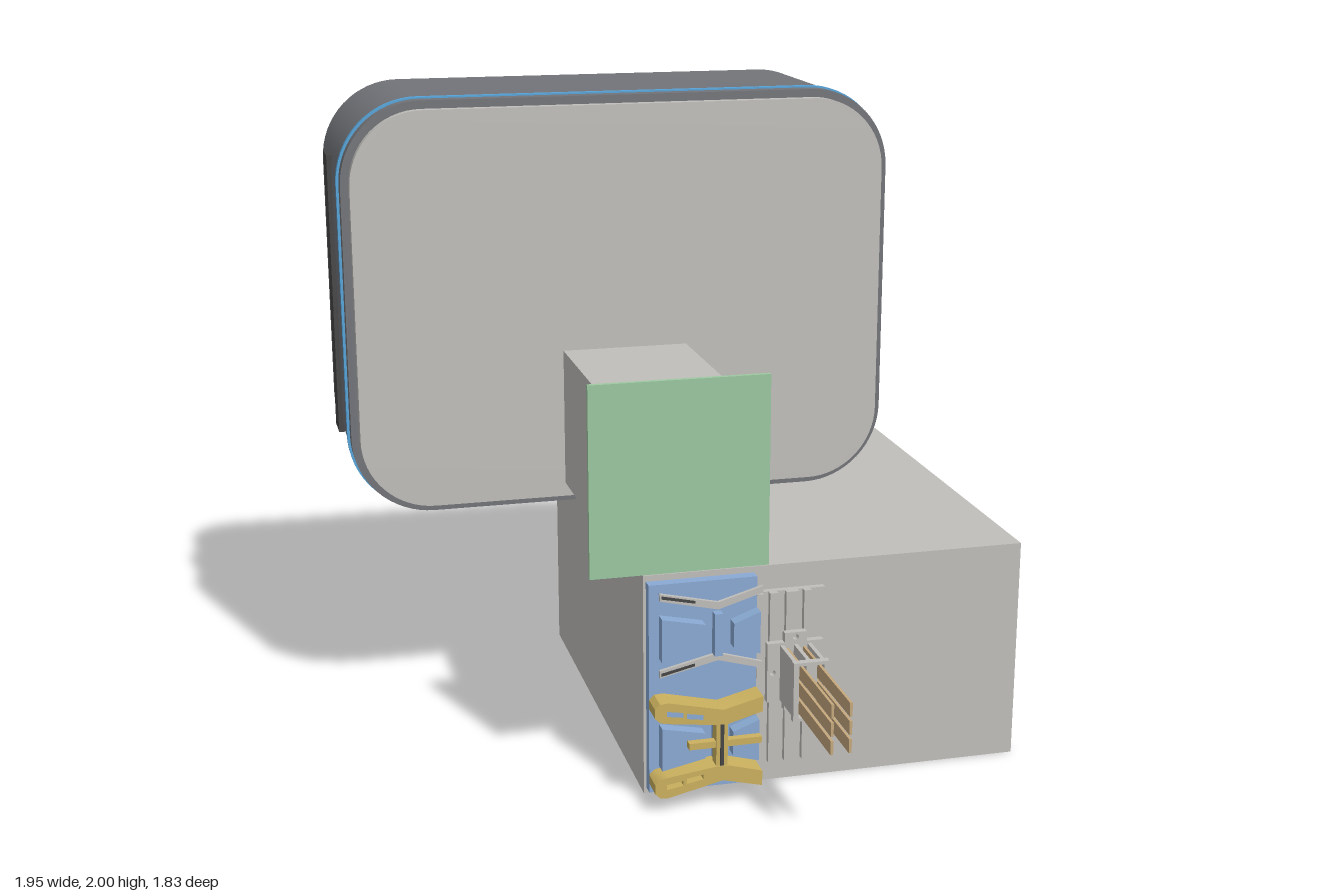
import * as THREE from 'three';
import { toCreasedNormals } from 'three/addons/utils/BufferGeometryUtils.js';

export function createModel() {
  const root = new THREE.Group();
  root.name = 'deviceAssembly';
  const mat = (name, color) => {
    const m = new THREE.MeshStandardMaterial({ color });
    m.name = name;
    return m;
  };
  const grey = mat('light grey', 0xc1bfbb);
  const slate = mat('slate grey', 0x727479);
  const dark = mat('charcoal', 0x454545);
  const band = mat('bright blue', 0x55a4da);
  const green = mat('board green', 0x9cc8a1);
  const blue = mat('soft blue', 0x8aaad4);
  const yellow = mat('mustard', 0xcbb15f);
  const tan = mat('contact tan', 0xc6a97d);

  const add = (name, geo, m, parent = root) => {
    const mesh = new THREE.Mesh(geo, m);
    mesh.name = name;
    parent.add(mesh);
    return mesh;
  };
  // Box given by its limits on each axis
  const box = (name, m, x0, x1, y0, y1, z0, z1, parent = root) =>
    add(name, new THREE.BoxGeometry(x1 - x0, y1 - y0, z1 - z0)
      .translate((x0 + x1) / 2, (y0 + y1) / 2, (z0 + z1) / 2), m, parent);
  const group = (name) => {
    const g = new THREE.Group();
    g.name = name;
    root.add(g);
    return g;
  };
  // Extrude a shape between two z values
  const slab = (name, m, shape, z0, z1, parent = root) => {
    const geo = new THREE.ExtrudeGeometry(shape, { depth: z1 - z0, bevelEnabled: false, curveSegments: 8 });
    return add(name, toCreasedNormals(geo.translate(0, 0, z0), 0.6), m, parent);
  };
  const poly = (pts) => new THREE.Shape(pts.map(([x, y]) => new THREE.Vector2(x, y)));
  const hole = (x, y, r) => new THREE.Path().absarc(x, y, r, 0, Math.PI * 2, true);
  const roundRect = (x0, x1, y0, y1, r) => {
    const s = new THREE.Shape();
    s.absarc(x1 - r, y1 - r, r, 0, Math.PI / 2);
    s.absarc(x0 + r, y1 - r, r, Math.PI / 2, Math.PI);
    s.absarc(x0 + r, y0 + r, r, Math.PI, Math.PI * 1.5);
    s.absarc(x1 - r, y0 + r, r, Math.PI * 1.5, Math.PI * 2);
    s.closePath();
    return s;
  };

  // Base block
  box('baseBlock', grey, -0.205, 0.975, 0, 0.69, -0.88, 0.43);

  // Rounded housing with its trim band and front panel
  const housing = group('housing');
  slab('housingShell', slate, roundRect(-0.965, 0.76, 0.71, 1.995, 0.25), -0.865, -0.265, housing);
  slab('trimBand', band, roundRect(-0.973, 0.768, 0.704, 2, 0.255), -0.334, -0.312, housing);
  slab('frontPanel', grey, roundRect(-0.94, 0.735, 0.735, 1.97, 0.225), -0.265, -0.232, housing);
  for (const [x0, x1] of [[-0.979, -0.96], [0.755, 0.775]])
    box('sideStrip', dark, x0, x1, 0.905, 1.8, -0.66, -0.55, housing);

  // Curved rear feet: cylinders partly sunk in the back
  const foot = (x, y, r, h) => add('rearFoot',
    new THREE.CylinderGeometry(r, r, h, 32).translate(x, y, r - 0.915), dark, housing);
  for (const x of [-0.755, 0.545]) {
    foot(x, 1.8, 0.072, 0.05);
    foot(x, 0.905, 0.072, 0.05);
  }
  foot(-0.103, 1.89, 0.194, 0.09);
  foot(-0.103, 0.815, 0.194, 0.09);

  // Spacer block and board in front of the panel
  box('spacerBlock', grey, -0.3, 0.095, 0.78, 1.21, -0.232, 0.45);
  box('circuitBoard', green, -0.37, 0.165, 0.705, 1.28, 0.45, 0.465);

  // Ribbed mounting plate
  const ribs = group('ribbedPlate');
  box('plateBase', grey, -0.05, 0.345, 0.075, 0.615, 0.43, 0.45, ribs);
  for (const [x0, x1] of [[0.13, 0.15], [0.17, 0.195], [0.22, 0.26], [0.275, 0.298]])
    box('plateRib', grey, x0, x1, 0.075, 0.615, 0.45, 0.468, ribs);

  // Connector: flange, open frame and contact blades
  const connector = group('connector');
  const flange = poly([[0.157, 0.28], [0.21, 0.28], [0.21, 0.25], [0.278, 0.25], [0.278, 0.28], [0.33, 0.28],
    [0.33, 0.465], [0.278, 0.465], [0.278, 0.495], [0.21, 0.495], [0.21, 0.465], [0.157, 0.465]]);
  for (const [x, y] of [[0.174, 0.372], [0.314, 0.372], [0.244, 0.265], [0.244, 0.48]])
    flange.holes.push(hole(x, y, 0.009));
  slab('connectorFlange', grey, flange, 0.468, 0.49, connector);
  const frame = poly([[0.19, 0.28], [0.298, 0.28], [0.298, 0.462], [0.19, 0.462]]);
  for (const x of [0.217, 0.271])
    frame.holes.push(poly([[x - 0.011, 0.29], [x + 0.011, 0.29], [x + 0.011, 0.452], [x - 0.011, 0.452]]));
  slab('frameFront', grey, frame, 0.622, 0.645, connector);
  for (const x of [0.196, 0.238, 0.28])
    box('frameWall', grey, x, x + 0.012, 0.285, 0.457, 0.49, 0.622, connector);
  for (const x of [0.217, 0.271])
    for (const y of [0.317, 0.372, 0.427])
      box('contactBlade', tan, x - 0.004, x + 0.004, y - 0.021, y + 0.021, 0.49, 0.915, connector);

  // Blue carrier plate with two clip stations
  const carrier = group('carrier');
  box('carrierPlate', blue, -0.205, 0.12, 0.035, 0.685, 0.465, 0.5, carrier);
  for (const cy of [0.53, 0.19]) {
    const left = poly([[-0.175, cy + 0.062], [-0.045, cy + 0.035], [-0.045, cy - 0.045], [-0.175, cy - 0.072]]);
    for (const x of [-0.125, -0.07])
      for (const y of [0.026, -0.03]) left.holes.push(hole(x, cy + y, 0.012));
    slab('leftClip', blue, left, 0.5, 0.54, carrier);
    const right = poly([[0.04, cy + 0.03], [0.12, cy + 0.06], [0.12, cy - 0.07], [0.04, cy - 0.045]]);
    right.holes.push(poly([[0.055, cy + 0.015], [0.105, cy + 0.035], [0.105, cy - 0.045], [0.055, cy - 0.03]]));
    slab('rightClip', blue, right, 0.5, 0.54, carrier);
    box('clipColumn', blue, -0.015, 0.01, cy - 0.07, cy + 0.06, 0.5, 0.53, carrier);
  }

  // Bent grey leads around the upper station
  for (const s of [1, -1]) {
    const y = (v) => 0.53 + s * v;
    slab('bentLead', grey, poly([[-0.175, y(0.13)], [0, y(0.09)], [0.135, y(0.128)], [0.135, y(0.108)],
      [0, y(0.068)], [-0.175, y(0.108)]]), 0.5, 0.512, carrier);
    slab('leadSlot', dark, poly([[-0.17, y(0.124)], [-0.07, y(0.101)], [-0.07, y(0.093)], [-0.17, y(0.115)]]),
      0.512, 0.514, carrier);
  }

  // Yellow clamp: two slotted arms, a column and a crossbar
  const clamp = group('clamp');
  for (const s of [1, -1]) {
    const y = (v) => 0.198 + s * v;
    const arm = poly([[-0.19, y(0.148)], [-0.165, y(0.15)], [0, y(0.112)], [0.12, y(0.142)], [0.12, y(0.095)],
      [0.015, y(0.066)], [-0.02, y(0.066)], [-0.165, y(0.085)], [-0.19, y(0.09)], [-0.205, y(0.105)],
      [-0.205, y(0.133)]]);
    for (const x of [-0.17, -0.11]) {
      const d = -0.22 * (x + 0.17);
      arm.holes.push(poly([[x, y(0.124 + d)], [x + 0.05, y(0.115 + d)], [x + 0.05, y(0.1 + d)], [x, y(0.108 + d)]]));
    }
    slab('clampArm', yellow, arm, 0.5, 0.575, clamp);
  }
  box('clampColumn', yellow, -0.02, 0.015, 0.12, 0.275, 0.53, 0.57, clamp);
  box('clampCrossbar', yellow, -0.1, 0.12, 0.188, 0.208, 0.54, 0.565, clamp);
  box('columnSlot', dark, -0.008, 0.003, 0.13, 0.265, 0.57, 0.573, clamp);

  return root;
}
